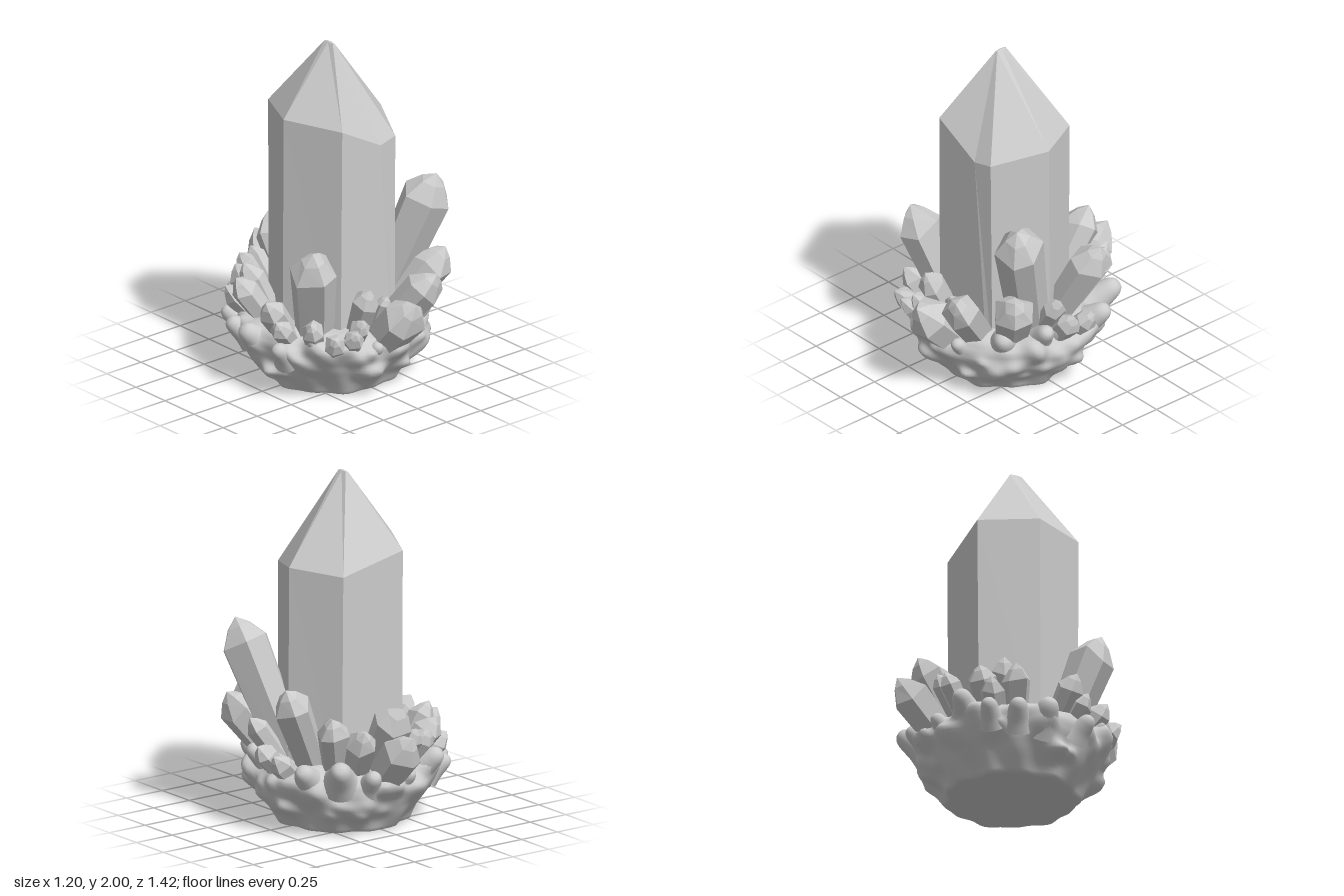
import * as THREE from 'three';
import { mergeVertices } from 'three/addons/utils/BufferGeometryUtils.js';

const V = (x, y, z) => new THREE.Vector3(x, y, z);

function seeded(seed) {
  let s = seed;
  return () => ((s = (s * 16807) % 2147483647) / 2147483647);
}

// Faceted prism through a stack of rings, closed by a tip
function prismGeometry(rings, tip) {
  const pts = [];
  const n = rings[0].length;
  const top = rings[rings.length - 1];
  for (let i = 0; i < n; i++) {
    const j = (i + 1) % n;
    for (let k = 1; k < rings.length; k++) {
      const a = rings[k - 1], b = rings[k];
      pts.push(a[i], b[i], b[j], a[i], b[j], a[j]);
    }
    pts.push(top[i], tip, top[j]);
  }
  const geo = new THREE.BufferGeometry().setFromPoints(pts);
  geo.computeVertexNormals();
  return geo;
}

// Small crystal running from its root to its tip, with uneven shoulders and a blunt point
function crystalGeometry(root, tip, r, rand) {
  const length = root.distanceTo(tip);
  const q = new THREE.Quaternion().setFromUnitVectors(V(0, 1, 0), tip.clone().sub(root).normalize());
  const turn = rand() * 1.05;
  const base = [], shoulder = [], bevel = [];
  const place = (x, y, z) => V(x, y, z).applyQuaternion(q).add(root);
  for (let i = 0; i < 6; i++) {
    const a = turn + (i + (rand() - 0.5) * 0.35) * Math.PI / 3;
    const c = Math.cos(a) * r, s = Math.sin(a) * r;
    const drop = r * (0.85 + 0.5 * rand());
    base.push(place(c * 0.78, 0, s * 0.78));
    shoulder.push(place(c, length - drop, s));
    bevel.push(place(c * 0.5, length - drop * 0.36, s * 0.5));
  }
  return prismGeometry([base, shoulder, bevel], tip);
}

// Lumpy bowl: a lathe whose skin is pushed out by rounded knobs
function rockGeometry(rand) {
  const profile = [[0.001, 0], [0.37, 0], [0.4, 0.05], [0.44, 0.11], [0.485, 0.18], [0.515, 0.25],
    [0.52, 0.31], [0.49, 0.36], [0.42, 0.385], [0.3, 0.39], [0.001, 0.4]];
  const path = new THREE.CurvePath();
  for (let i = 1; i < profile.length; i++) {
    path.add(new THREE.LineCurve(new THREE.Vector2(...profile[i - 1]), new THREE.Vector2(...profile[i])));
  }
  const geo = new THREE.LatheGeometry(path.getSpacedPoints(64), 144);
  geo.deleteAttribute('uv');
  geo.deleteAttribute('normal');
  const knobs = [];
  for (let i = 0; i < 64; i++) {
    const a = i * 2.39996, y = 0.09 + rand() * 0.27;
    const r = 0.4 + Math.min(y, 0.25) * 0.45;
    knobs.push({ p: V(Math.cos(a) * r, y, Math.sin(a) * r), w: 0.03 + rand() * 0.035, h: 0.02 + rand() * 0.04 });
  }
  const pos = geo.attributes.position;
  const p = V(), dir = V();
  for (let i = 0; i < pos.count; i++) {
    p.fromBufferAttribute(pos, i);
    const a = Math.atan2(p.z, p.x), r = Math.hypot(p.x, p.z);
    const lift = Math.min(1, p.y / 0.12);
    let push = (0.01 * Math.sin(a * 7 + p.y * 14) + 0.008 * Math.sin(a * 13 - p.y * 12)) * Math.min(1, r / 0.3);
    for (const k of knobs) push += lift * k.h * Math.exp(-p.distanceToSquared(k.p) / (k.w * k.w));
    push = Math.min(push, 0.07);
    dir.set(p.x, 0, p.z).normalize();
    dir.y = Math.max(0, (p.y - 0.12) * 3);
    dir.normalize();
    p.addScaledVector(dir, push);
    pos.setXYZ(i, p.x, p.y, p.z);
  }
  const merged = mergeVertices(geo, 1e-4);
  merged.computeVertexNormals();
  return merged;
}

// Rounded finger with a flared root; its tip is at the origin
function stubGeometry(r) {
  const outline = [[1.75, -3.4], [1.3, -2.3], [1.05, -1.3], [0.85, -0.6], [0.5, -0.14], [0, 0]];
  const curve = new THREE.SplineCurve(outline.map(([x, y]) => new THREE.Vector2(x * r, y * r)));
  return new THREE.LatheGeometry(curve.getPoints(18), 20);
}

export function createModel() {
  const group = new THREE.Group();
  const flat = new THREE.MeshStandardMaterial({ color: 0xcccccc, flatShading: true });
  const smooth = new THREE.MeshStandardMaterial({ color: 0xcccccc });
  const rand = seeded(4217);
  const add = (name, geo, mat) => {
    const mesh = new THREE.Mesh(geo, mat);
    mesh.name = name;
    group.add(mesh);
    return mesh;
  };

  // Tall central point, ending in a short ridge
  const shoulders = [[0.37, 1.5, 0], [0.22, 1.45, 0.3], [0.1, 1.43, 0.315], [-0.19, 1.59, 0.325],
    [-0.335, 1.6, -0.01], [-0.18, 1.58, -0.325], [0.21, 1.48, -0.29]].map((c) => V(...c));
  const feet = shoulders.map((c) => V(c.x * 1.02, 0.2, c.z * 0.97));
  feet[2].set(0.19, 0.2, 0.303);
  const ridge = shoulders.map((c) => V(-0.02 + c.x * 0.03, 1.995, 0.015 + c.z * 0.11));
  add('mainCrystal', prismGeometry([feet, shoulders, ridge], V(-0.02, 2, 0.015)), flat);

  // Large crystals leaning out on their own angles: root, tip, radius
  const large = [
    ['rightTallCrystal', [0.28, 0.3, 0.06], [0.49, 1.16, 0.34], 0.142],
    ['leftTallCrystal', [-0.24, 0.25, 0.15], [-0.42, 0.92, 0.34], 0.132],
    ['frontCrystal', [0.02, 0.12, 0.25], [0.04, 0.59, 0.69], 0.13],
    ['backCrystal', [0.03, 0.15, -0.28], [0.05, 0.61, -0.71], 0.118],
  ];
  for (const [name, root, tip, r] of large) add(name, crystalGeometry(V(...root), V(...tip), r, rand), flat);

  // Smaller crystals fanning out from a ring: tip x, y, z and radius
  const rightAndFront = [
    [0.52, 0.72, 0.38, 0.12], [0.56, 0.87, -0.22, 0.115], [0.57, 0.64, 0.1, 0.065],
    [0.59, 0.5, 0, 0.07], [0.59, 0.47, -0.15, 0.065], [0.27, 0.69, 0.6, 0.11],
    [-0.13, 0.66, 0.48, 0.08], [0.04, 0.57, 0.44, 0.05], [-0.2, 0.5, 0.51, 0.06],
    [-0.38, 0.43, 0.49, 0.065], [-0.27, 0.45, 0.54, 0.06], [0.08, 0.32, 0.55, 0.045],
  ];
  const leftAndBack = [
    [-0.56, 0.58, 0.1, 0.08], [-0.55, 0.48, 0.18, 0.065], [-0.45, 0.5, 0.36, 0.07],
    [-0.48, 0.6, -0.25, 0.085], [-0.4, 0.66, -0.28, 0.08], [-0.44, 0.5, -0.39, 0.07],
    [-0.35, 0.6, -0.41, 0.085], [-0.2, 0.58, -0.55, 0.065], [-0.12, 0.6, -0.55, 0.06],
    [0.04, 0.76, -0.58, 0.115], [0.25, 0.64, -0.54, 0.09], [0.38, 0.71, -0.41, 0.095],
  ];
  for (const [x, y, z, r] of rightAndFront.concat(leftAndBack)) {
    const root = V(x, 0, z).setLength(0.28).setY(y * 0.35);
    add('smallCrystal', crystalGeometry(root, V(x, y, z), r, rand), flat);
  }

  // Lumpy base with rounded stubs growing out of it: tip x, y, z and radius
  add('rockBase', rockGeometry(rand), smooth);
  const stubs = [
    [0.39, 0.45, -0.5, 0.065], [-0.3, 0.44, -0.52, 0.06], [-0.58, 0.38, -0.08, 0.065],
    [-0.56, 0.34, 0.19, 0.05], [0.52, 0.43, 0, 0.065], [0.54, 0.46, 0.15, 0.05],
    [0.52, 0.42, -0.31, 0.06], [-0.53, 0.36, -0.26, 0.055], [-0.42, 0.4, 0.35, 0.045],
    [0.41, 0.44, 0.37, 0.065], [-0.09, 0.34, 0.53, 0.04], [0.17, 0.36, 0.52, 0.04],
    [-0.08, 0.37, -0.55, 0.045], [0.19, 0.39, -0.56, 0.05], [-0.44, 0.36, -0.41, 0.05],
  ];
  for (const [x, y, z, r] of stubs) {
    const stub = add('rockStub', stubGeometry(r), smooth);
    stub.quaternion.setFromUnitVectors(V(0, 1, 0), V(x, 0.5, z).normalize());
    stub.position.set(x, y, z);
  }
  return group;
}
